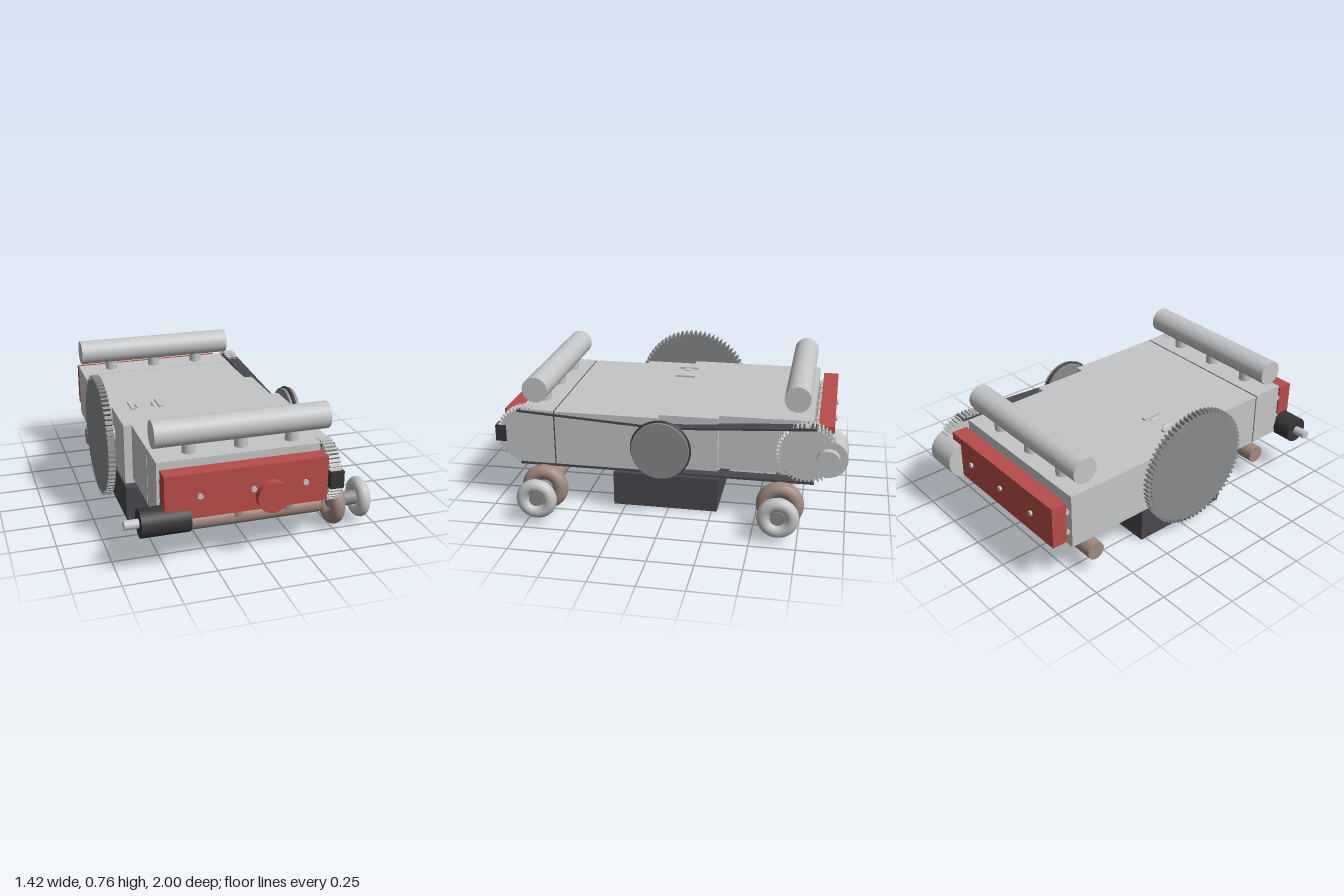
import * as THREE from 'three';

const mat = (name, color) => Object.assign(new THREE.MeshStandardMaterial({ color }), { name });

export function createModel() {
  const model = new THREE.Group();
  model.name = 'flatEngine';
  const silver = mat('silver', 0xc4c5c6);
  const steel = mat('steel', 0x888a8c);
  const red = mat('red', 0xb84c48);
  const bronze = mat('bronze', 0xa08a7e);
  const charcoal = mat('charcoal', 0x49484d);
  const black = mat('black', 0x363639);

  const add = (name, geometry, material, x = 0, y = 0, z = 0) => {
    const m = new THREE.Mesh(geometry, material);
    m.name = name;
    m.position.set(x, y, z);
    model.add(m);
    return m;
  };
  // Box given by its limits on each axis
  const box = (name, material, x0, x1, y0, y1, z0, z1) =>
    add(name, new THREE.BoxGeometry(x1 - x0, y1 - y0, z1 - z0), material,
      (x0 + x1) / 2, (y0 + y1) / 2, (z0 + z1) / 2);
  // Cylinders along each axis
  const rodX = (name, material, r, x0, x1, y, z) =>
    add(name, new THREE.CylinderGeometry(r, r, x1 - x0, 40).rotateZ(Math.PI / 2), material, (x0 + x1) / 2, y, z);
  const rodY = (name, material, r, y0, y1, x, z) =>
    add(name, new THREE.CylinderGeometry(r, r, y1 - y0, 28), material, x, (y0 + y1) / 2, z);
  const rodZ = (name, material, r, z0, z1, x, y) =>
    add(name, new THREE.CylinderGeometry(r, r, z1 - z0, 32).rotateX(Math.PI / 2), material, x, y, (z0 + z1) / 2);
  const ringX = (name, material, R, r, x, y, z) =>
    add(name, new THREE.TorusGeometry(R, r, 20, 48).rotateY(Math.PI / 2), material, x, y, z);
  // Toothed wheel with its axle along x
  const gear = (name, material, teeth, root, tip, x0, x1, y, z) => {
    const pts = [];
    for (let i = 0; i < teeth; i++) {
      [[0, root], [0.45, root], [0.55, tip], [0.9, tip]].forEach(([f, r]) => {
        const a = ((i + f) / teeth) * Math.PI * 2;
        pts.push(new THREE.Vector2(Math.cos(a) * r, Math.sin(a) * r));
      });
    }
    const g = new THREE.ExtrudeGeometry(new THREE.Shape(pts), { depth: x1 - x0, bevelEnabled: false });
    add(name, g.rotateY(Math.PI / 2), material, x0, y, z);
  };

  // Crankcase and sump
  box('crankcase', silver, -0.57, 0.38, 0.22, 0.568, -0.28, 0.3);
  box('sumpNeck', silver, -0.5, 0.3, 0.19, 0.22, -0.2, 0.11);
  box('sump', charcoal, -0.57, 0.38, 0, 0.2, -0.28, 0.32);

  // Two cylinder banks, staggered along x
  const banks = [
    { side: 'front', s: 1, x0: -0.525, x1: 0.43, xs: [-0.33, -0.047, 0.235], cover: [-0.515, 0.36], inner: 0.05 },
    { side: 'rear', s: -1, x0: -0.62, x1: 0.333, xs: [-0.425, -0.145, 0.137], cover: [-0.61, 0.32], inner: 0 },
  ];
  for (const { side, s, x0, x1, xs, cover, inner } of banks) {
    const z = (d) => 0.02 + s * d;
    const span = (a, b) => [Math.min(z(a), z(b)), Math.max(z(a), z(b))];
    box(side + 'CylinderBank', silver, x0, x1, 0.25, 0.568, ...(s > 0 ? [inner, z(0.62)] : [z(0.66), inner]));
    box(side + 'HeadGasket', charcoal, x0 + 0.003, x1 - 0.003, 0.253, 0.565, ...span(0.61, 0.67));
    box(side + 'CylinderHead', silver, x0, x1, 0.25, 0.57, ...span(0.628, 0.82));
    // Camshafts with lobes between head and cover
    for (const y of [0.35, 0.475]) {
      rodX(side + 'Camshaft', silver, 0.013, x0 + 0.01, x1 - 0.005, y, z(0.837));
      for (const x of xs) for (const d of [-0.05, 0.05])
        rodX(side + 'CamLobe', silver, 0.022, x + d - 0.01, x + d + 0.01, y, z(0.832));
    }
    // Valve cover and its bolts
    box(side + 'ValveCover', red, cover[0], cover[1], 0.295, 0.54, ...span(0.845, 0.935));
    for (const x of xs) rodZ(side + 'CoverBolt', silver, 0.015, ...span(0.93, 0.946), x, 0.415);
    // Intake manifold above, exhaust manifold below
    rodX(side + 'IntakeManifold', silver, 0.073, x0, x1, 0.688, z(0.728));
    rodX(side + 'ExhaustManifold', bronze, 0.052, x0, x1, 0.143, z(0.665));
    for (const x of xs) {
      rodY(side + 'IntakeRunner', silver, 0.036, 0.55, 0.67, x, z(0.728));
      rodY(side + 'ExhaustRunner', bronze, 0.033, 0.15, 0.27, x, z(0.69));
    }
    // Turbocharger
    ringX(side + 'TurbineHousing', bronze, 0.089, 0.043, 0.512, 0.143, z(0.665));
    ringX(side + 'CompressorHousing', silver, 0.077, 0.037, 0.675, 0.143, z(0.665));
    rodX(side + 'TurboShaft', steel, 0.04, 0.49, 0.69, 0.143, z(0.665));
    // Cam sprocket
    gear(side + 'CamSprocket', silver, 44, 0.152, 0.17, 0.362, 0.428, 0.412, z(0.798));
    // Upper timing belt run, sloping to the crank
    const a = new THREE.Vector2(z(0.84), 0.56), b = new THREE.Vector2(0.02, 0.51);
    const run = add(side + 'UpperBelt', new THREE.BoxGeometry(0.075, 0.013, a.distanceTo(b)), charcoal,
      0.3975, (a.y + b.y) / 2, (a.x + b.x) / 2);
    run.rotation.x = -Math.atan((a.y - b.y) / (a.x - b.x));
  }
  box('lowerBelt', charcoal, 0.36, 0.435, 0.238, 0.251, -0.82, 0.85);
  box('sprocketSensor', black, 0.36, 0.435, 0.37, 0.465, 0.93, 0.992);
  rodZ('oilFillerCap', red, 0.085, 0.94, 0.998, 0.048, 0.37);

  // Crank pulley
  rodX('crankNose', silver, 0.083, 0.36, 0.48, 0.413, 0.02);
  rodX('crankPulley', steel, 0.162, 0.475, 0.53, 0.413, 0.02);
  ringX('accessoryBelt', black, 0.16, 0.011, 0.502, 0.413, 0.02);

  // Flywheel
  rodX('flywheelShaft', silver, 0.05, -0.64, -0.56, 0.415, 0.02);
  gear('flywheel', steel, 72, 0.325, 0.346, -0.67, -0.63, 0.415, 0.02);

  // Starter motor
  rodX('starterMotor', black, 0.076, -0.637, -0.38, 0.285, 0.907);
  rodX('starterShaft', silver, 0.025, -0.713, -0.63, 0.285, 0.907);

  // Water pump
  rodX('waterPump', silver, 0.107, 0.24, 0.432, 0.392, -0.891);
  rodX('waterPumpHub', silver, 0.065, 0.43, 0.474, 0.392, -0.891);

  // Small fittings on top of the crankcase
  for (const s of [-1, 1]) {
    box('topLug', silver, -0.379 + s * 0.081 - 0.0125, -0.379 + s * 0.081 + 0.0125, 0.56, 0.58, -0.04, 0.08);
    add('topPin', new THREE.SphereGeometry(1, 20, 12).scale(0.014, 0.012, 0.035), silver, -0.379 + s * 0.048, 0.569, 0.02);
  }
  return model;
}
